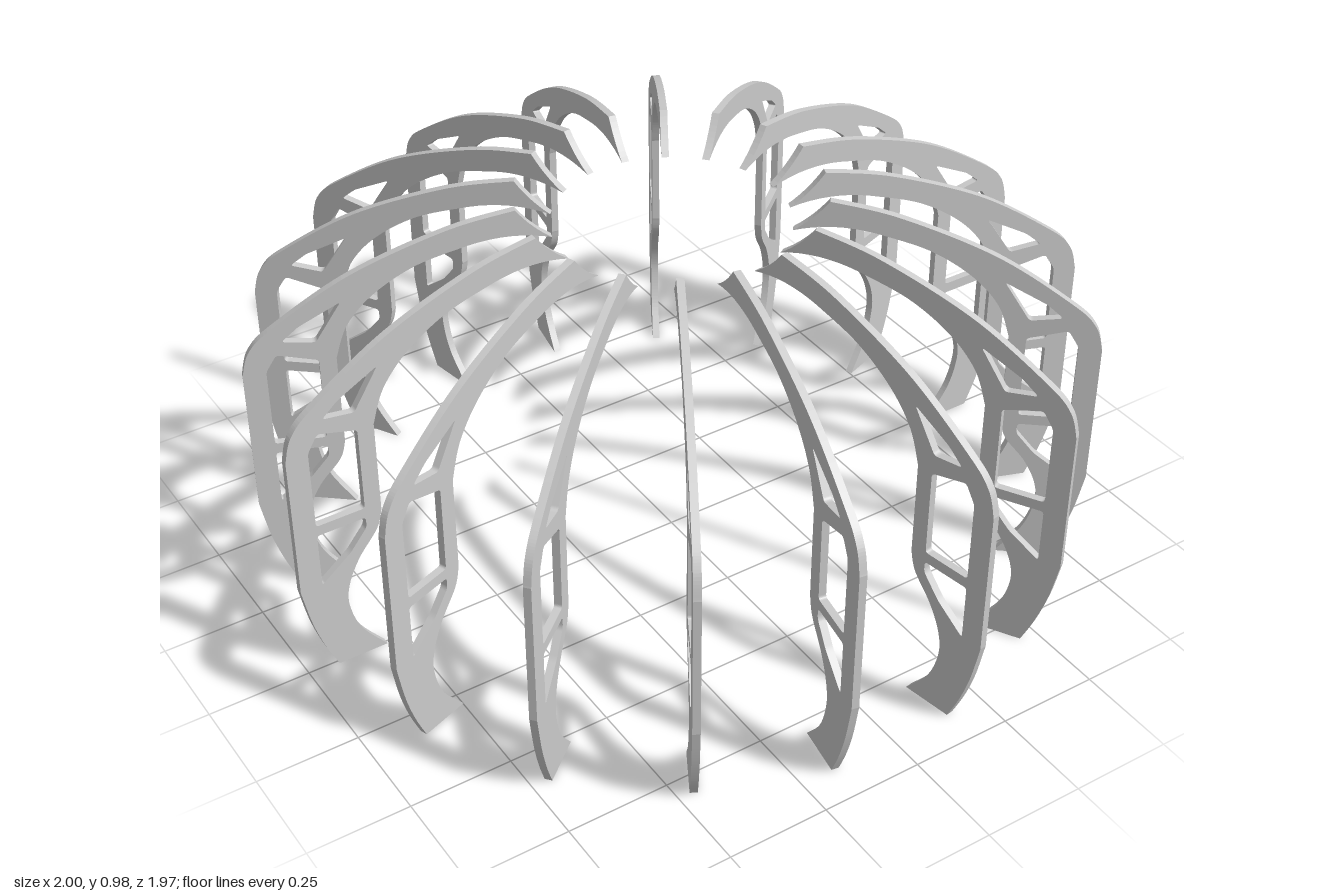
import * as THREE from 'three';

const v = (pts) => pts.map(([r, y]) => new THREE.Vector2(r, y));

// Rib silhouette in the radial plane: r outward, y up
function ribShape() {
  const s = new THREE.Shape();
  s.moveTo(0.80, 0);
  s.lineTo(0.925, 0);
  // outer edge, foot to tip
  s.splineThru(v([[0.955, 0.07], [0.98, 0.15], [1, 0.25]]));
  s.lineTo(1, 0.62);
  s.splineThru(v([[0.98, 0.685], [0.92, 0.743], [0.74, 0.858], [0.52, 0.943], [0.36, 0.975]]));
  // hooked tip
  s.quadraticCurveTo(0.325, 0.925, 0.278, 0.893);
  s.quadraticCurveTo(0.37, 0.922, 0.47, 0.898);
  // inner edge, tip to foot
  s.splineThru(v([[0.59, 0.862], [0.69, 0.80], [0.755, 0.725], [0.785, 0.64]]));
  s.lineTo(0.785, 0.40);
  s.splineThru(v([[0.80, 0.35], [0.85, 0.285], [0.88, 0.22], [0.885, 0.16], [0.86, 0.08], [0.80, 0]]));

  // openings: upper window, lower window, triangle under the shoulder
  const openings = [
    [[0.825, 0.42], [0.946, 0.42], [0.946, 0.625], [0.92, 0.668], [0.825, 0.64]],
    [[0.825, 0.393], [0.825, 0.365], [0.87, 0.31], [0.946, 0.25], [0.946, 0.393]],
    [[0.828, 0.69], [0.905, 0.702], [0.865, 0.737], [0.765, 0.79]],
  ];
  for (const pts of openings) s.holes.push(roundedPath(v(pts), 0.009));
  return s;
}

// Closed polygon with softened corners
function roundedPath(pts, radius) {
  const path = new THREE.Path();
  pts.forEach((p, i) => {
    const prev = pts[(i + pts.length - 1) % pts.length];
    const next = pts[(i + 1) % pts.length];
    const a = p.clone().add(prev.clone().sub(p).setLength(radius));
    const b = p.clone().add(next.clone().sub(p).setLength(radius));
    if (i === 0) path.moveTo(a.x, a.y);
    else path.lineTo(a.x, a.y);
    path.quadraticCurveTo(p.x, p.y, b.x, b.y);
  });
  path.closePath();
  return path;
}

export function createModel() {
  const group = new THREE.Group();
  group.name = 'ribRing';
  const material = new THREE.MeshStandardMaterial({ color: 0xcccccc });
  const thickness = 0.018;
  const geometry = new THREE.ExtrudeGeometry(ribShape(), {
    depth: thickness, bevelEnabled: false, curveSegments: 8,
  });
  geometry.translate(0, 0, -thickness / 2);

  // eighteen identical ribs around the vertical axis
  const count = 18;
  for (let i = 0; i < count; i++) {
    const rib = new THREE.Mesh(geometry, material);
    rib.name = `rib${i + 1}`;
    rib.rotation.y = (i / count) * Math.PI * 2;
    group.add(rib);
  }
  return group;
}
